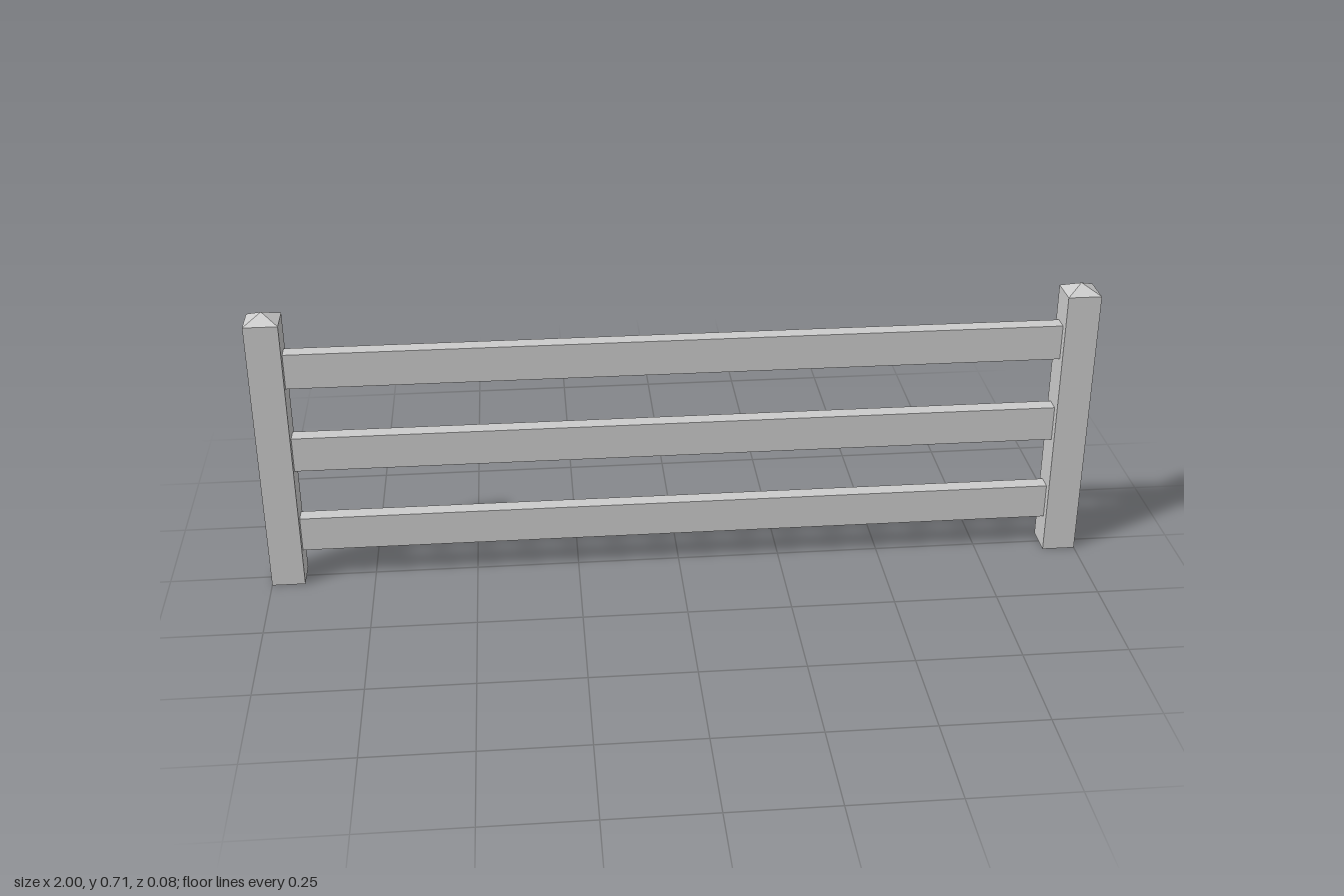
import * as THREE from 'three';

const POST = 0.08, POST_HEIGHT = 0.688, CAP_HEIGHT = 0.021;
const RAIL_HEIGHT = 0.087, RAIL_DEPTH = 0.038;

export function createModel() {
  const fence = new THREE.Group();
  fence.name = 'fence';
  const material = new THREE.MeshStandardMaterial({ color: 0xcccccc, flatShading: true });

  const add = (parent, name, geometry, x, y, z) => {
    const mesh = new THREE.Mesh(geometry, material);
    mesh.name = name;
    mesh.position.set(x, y, z);
    parent.add(mesh);
  };

  // Square posts with shallow pyramid tops
  const shaft = new THREE.BoxGeometry(POST, POST_HEIGHT, POST);
  const cap = new THREE.ConeGeometry(POST / Math.SQRT2, CAP_HEIGHT, 4, 1, true).rotateY(Math.PI / 4);
  for (const [side, name] of [[1, 'leftPost'], [-1, 'rightPost']]) {
    const post = new THREE.Group();
    post.name = name;
    post.position.x = side * (1 - POST / 2);
    add(post, 'postShaft', shaft, 0, POST_HEIGHT / 2, 0);
    add(post, 'postCap', cap, 0, POST_HEIGHT + CAP_HEIGHT / 2, 0);
    fence.add(post);
  }

  // Three horizontal rails between the posts
  const rail = new THREE.BoxGeometry(2 - 2 * POST, RAIL_HEIGHT, RAIL_DEPTH);
  const heights = { lowerRail: 0.127, middleRail: 0.345, upperRail: 0.563 };
  for (const [name, y] of Object.entries(heights)) add(fence, name, rail, 0, y, 0);

  return fence;
}
